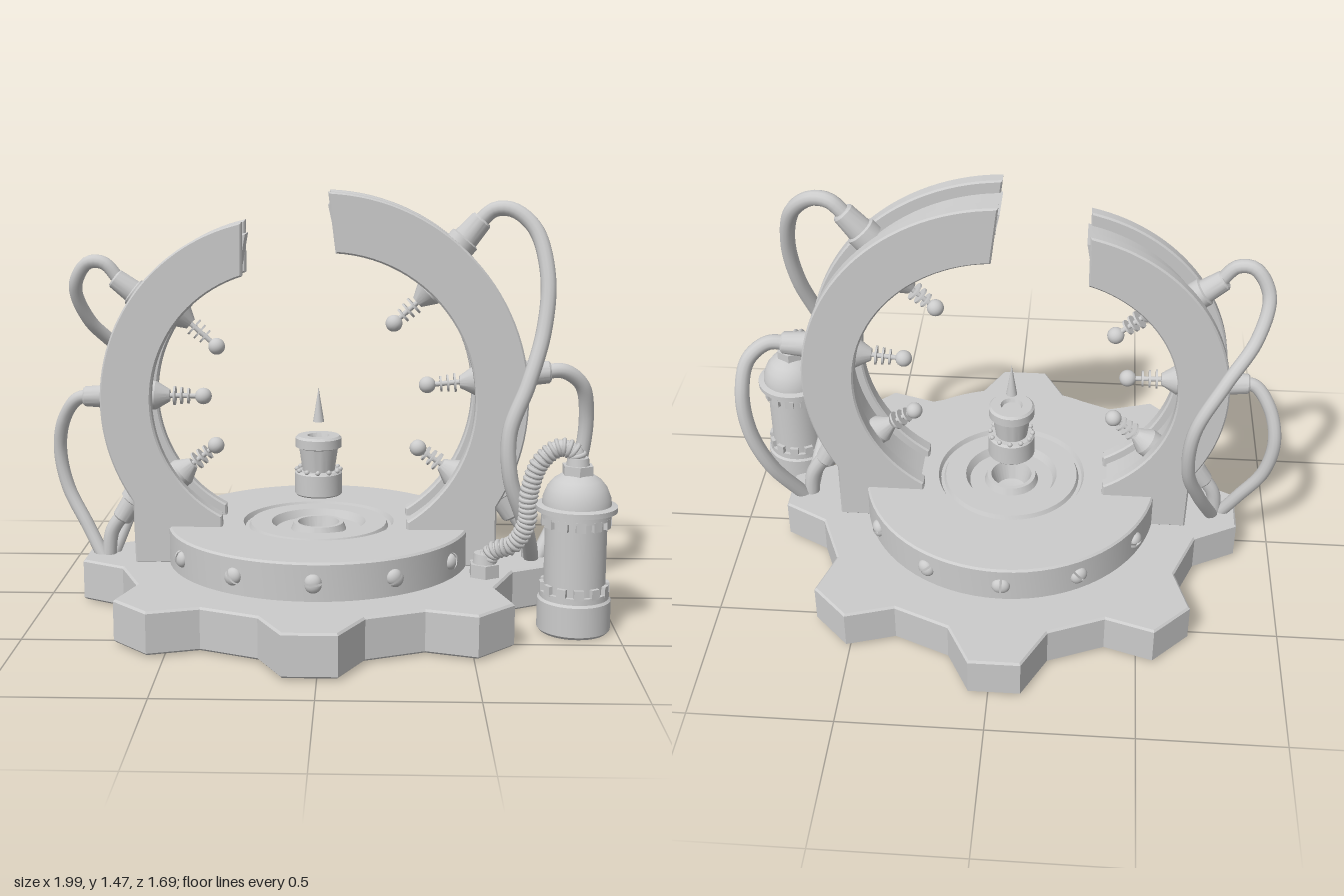
import * as THREE from 'three';
import { toCreasedNormals } from 'three/addons/utils/BufferGeometryUtils.js';

const material = new THREE.MeshStandardMaterial({ color: 0xcccccc, side: THREE.DoubleSide });
const UP = new THREE.Vector3(0, 1, 0);
const rad = THREE.MathUtils.degToRad;
const v2 = (a) => a.map(([x, y]) => new THREE.Vector2(x, y));
const v3 = (a) => a.map((p) => new THREE.Vector3(...p));

function add(parent, name, geometry, x = 0, y = 0, z = 0) {
  const mesh = new THREE.Mesh(geometry, material);
  mesh.name = name;
  mesh.position.set(x, y, z);
  parent.add(mesh);
  return mesh;
}

const lathe = (profile, seg = 48) =>
  toCreasedNormals(new THREE.LatheGeometry(v2(profile), seg).toNonIndexed(), 0.5);

// Group whose +y axis points from position along direction
function aimed(parent, name, position, direction) {
  const g = new THREE.Group();
  g.name = name;
  g.position.set(...position);
  g.quaternion.setFromUnitVectors(UP, new THREE.Vector3(...direction).normalize());
  parent.add(g);
  return g;
}

function extrude(points, depth, bevel) {
  const g = new THREE.ExtrudeGeometry(new THREE.Shape(v2(points)), {
    depth: depth - 2 * bevel, bevelEnabled: bevel > 0, bevelSize: bevel,
    bevelThickness: bevel, bevelOffset: -bevel, bevelSegments: 1,
  });
  g.translate(0, 0, bevel - depth / 2);
  return toCreasedNormals(g, 0.4);
}

// Eight-toothed base plate
function buildGear(parent) {
  const pts = [];
  for (let i = 0; i < 8; i++) {
    for (const [a, r] of [[-14, 0.71], [-6, 0.85], [6, 0.85], [14, 0.71]]) {
      const t = rad(i * 45 + a);
      pts.push([r * Math.cos(t), r * Math.sin(t)]);
    }
  }
  const gear = add(parent, 'gearBase', extrude(pts, 0.147, 0.007), -0.022, 0.08, 0);
  gear.rotation.x = -Math.PI / 2;
}

// Round platform with central cup and slotted screws
function buildPlatform(parent) {
  const g = new THREE.Group();
  g.name = 'platform';
  g.position.x = -0.022;
  parent.add(g);
  add(g, 'platformDisc', lathe([
    [0, 0.2], [0.055, 0.21], [0.075, 0.28], [0.09, 0.28], [0.1, 0.255], [0.155, 0.255],
    [0.17, 0.283], [0.245, 0.283], [0.252, 0.268], [0.264, 0.268], [0.272, 0.285],
    [0.533, 0.285], [0.54, 0.278], [0.54, 0.14],
  ].reverse(), 72));
  for (let i = 0; i < 12; i++) {
    if (i % 6 === 3) continue;
    const a = rad(i * 30);
    const d = [Math.sin(a), 0, Math.cos(a)];
    const s = aimed(g, 'screw', [d[0] * 0.538, 0.215, d[2] * 0.538], d);
    // two half heads leave the slot between them
    for (const side of [0, 1]) {
      const half = new THREE.Group();
      half.rotation.y = i * 1.3 + side * Math.PI;
      const dome = new THREE.SphereGeometry(0.029, 14, 5, 0, Math.PI, 0, Math.PI / 2);
      dome.scale(1, 0.75, 1);
      add(half, 'screwHead', dome, 0, 0, 0.004);
      s.add(half);
    }
  }
}

// Floating pedestal and the spike above it
function buildPedestal(parent) {
  add(parent, 'pedestal', lathe([
    [0, 0.385], [0.08, 0.385], [0.085, 0.39], [0.085, 0.465], [0.078, 0.473], [0.058, 0.473],
    [0.07, 0.555], [0.083, 0.56], [0.083, 0.592], [0.075, 0.6], [0.04, 0.6], [0.035, 0.585], [0, 0.585],
  ]), -0.022, 0, 0);
  for (let i = 0; i < 12; i++) {
    const a = rad(i * 30);
    add(parent, 'pedestalStud', new THREE.SphereGeometry(0.009, 8, 6),
      -0.022 + 0.078 * Math.sin(a), 0.476, 0.078 * Math.cos(a));
  }
  add(parent, 'floatingSpike', new THREE.ConeGeometry(0.02, 0.125, 20), -0.022, 0.712, 0);
}

// Broken ring half: two plates and a recessed web between them
function archOutline(o, inset) {
  const pts = [];
  const arc = (cx, r, from, to) => {
    for (let i = 0; i <= 40; i++) {
      const t = rad(from + (to - from) * i / 40);
      pts.push([cx + r * Math.cos(t), o.cy + r * Math.sin(t)]);
    }
  };
  arc(o.outerX, o.outerR - inset, o.outerA[0], o.outerA[1]);
  const s = Math.sign(o.footOut);
  pts.push([o.footOut - s * inset, 0.15], [o.footIn + s * inset, 0.15]);
  arc(o.innerX, o.innerR + inset * 0.7, o.innerA[1], o.innerA[0]);
  return pts;
}

function buildArch(parent, o) {
  const g = new THREE.Group();
  g.name = o.name;
  parent.add(g);
  for (const s of [-1, 1])
    add(g, 'archPlate', extrude(archOutline(o, 0), o.plate, 0.006), 0, 0, s * (o.halfDepth - o.plate / 2));
  add(g, 'archWeb', extrude(archOutline(o, 0.045), 2 * (o.halfDepth - o.plate) + 0.02, 0));
}

// Prong with cone seat, rod, discs and ball, running from the ring to the ball
function buildProng(parent, from, ball) {
  const dir = new THREE.Vector3(ball[0] - from[0], ball[1] - from[1], 0);
  const L = dir.length();
  const g = aimed(parent, 'prong', [...from, 0], dir.toArray());
  add(g, 'prongSeat', lathe([[0, -0.04], [0.052, -0.04], [0.052, -0.005], [0.022, 0.045], [0, 0.045]], 20));
  add(g, 'prongRod', new THREE.CylinderGeometry(0.009, 0.009, L, 10), 0, L / 2, 0);
  for (let i = 0; i < 3; i++)
    add(g, 'prongDisc', new THREE.CylinderGeometry(0.034 - i * 0.003, 0.034 - i * 0.003, 0.007, 20), 0, 0.062 + i * 0.025, 0);
  add(g, 'prongBall', new THREE.SphereGeometry(0.03, 20, 14), 0, L, 0);
}

function buildSocket(parent, pos, dir, k) {
  const g = aimed(parent, 'hoseSocket', pos, dir);
  g.scale.setScalar(k);
  add(g, 'socket', lathe([[0, -0.07], [0.056, -0.07], [0.056, -0.03], [0.046, -0.025], [0.04, 0.055], [0.034, 0.062], [0, 0.062]], 24));
}

function buildHose(parent, points, r) {
  const curve = new THREE.CatmullRomCurve3(v3(points));
  add(parent, 'hose', new THREE.TubeGeometry(curve, 80, r, 12));
}

// Canister with crenellated collars, dome and ribbed feed hose
function buildTank(parent) {
  const g = new THREE.Group();
  g.name = 'tank';
  g.position.set(0.858, 0, 0.338);
  parent.add(g);
  add(g, 'tankBody', lathe([
    [0, 0], [0.115, 0], [0.124, 0.01], [0.124, 0.112], [0.117, 0.12], [0.117, 0.142], [0.104, 0.142],
    [0.104, 0.395], [0.117, 0.395], [0.117, 0.418], [0.137, 0.42], [0.137, 0.437], [0.116, 0.442],
    [0.114, 0.465], [0.1, 0.5], [0.08, 0.525], [0.052, 0.543], [0, 0.55],
  ]));
  for (let i = 0; i < 12; i++) {
    const a = rad(i * 30);
    for (const y of [0.153, 0.385]) {
      const tooth = add(g, 'collarTooth', new THREE.BoxGeometry(0.032, 0.034, 0.014), 0.11 * Math.sin(a), y, 0.11 * Math.cos(a));
      tooth.rotation.y = a;
    }
  }
  const hex = (r, h) => new THREE.CylinderGeometry(r, r, h, 6).toNonIndexed();
  const nut = (p, name, r, h, y) => {
    const geo = hex(r, h);
    geo.computeVertexNormals();
    add(p, name, geo, 0, y, 0);
  };
  nut(g, 'topNut', 0.055, 0.035, 0.557);
  add(g, 'topNeck', new THREE.CylinderGeometry(0.036, 0.04, 0.03, 20), 0, 0.585, 0);

  const curve = new THREE.CatmullRomCurve3(v3([
    [0.858, 0.57, 0.338], [0.85, 0.615, 0.337], [0.8, 0.632, 0.33], [0.735, 0.58, 0.325],
    [0.7, 0.47, 0.315], [0.695, 0.36, 0.3], [0.655, 0.28, 0.275], [0.59, 0.245, 0.245], [0.562, 0.19, 0.23],
  ]));
  add(parent, 'ribbedHose', new THREE.TubeGeometry(curve, 80, 0.026, 12));
  for (let i = 1; i < 36; i++) {
    const t = i / 36;
    const rib = add(parent, 'hoseRib', new THREE.TorusGeometry(0.026, 0.008, 6, 16), ...curve.getPointAt(t).toArray());
    rib.quaternion.setFromUnitVectors(new THREE.Vector3(0, 0, 1), curve.getTangentAt(t));
  }
  const end = aimed(parent, 'hoseFitting', [0.562, 0.15, 0.23], [0, 1, 0]);
  nut(end, 'fittingNut', 0.056, 0.05, 0.025);
  add(end, 'fittingNeck', new THREE.CylinderGeometry(0.037, 0.042, 0.04, 20), 0, 0.065, 0);
}

export function createModel() {
  const model = new THREE.Group();
  model.name = 'gatewayDevice';
  buildGear(model);
  buildPlatform(model);
  buildPedestal(model);
  buildArch(model, { name: 'shortArch', cy: 0.735, outerX: -0.145, outerR: 0.645, outerA: [102.5, 214],
    innerX: -0.145, innerR: 0.465, innerA: [107.5, 242], footOut: -0.675, footIn: -0.358, halfDepth: 0.107, plate: 0.046 });
  buildArch(model, { name: 'tallArch', cy: 0.745, outerX: -0.01, outerR: 0.725, outerA: [88, -31.2],
    innerX: 0.014, innerR: 0.516, innerA: [87, -57], footOut: 0.61, footIn: 0.292, halfDepth: 0.124, plate: 0.054 });

  // Prongs pointing inward
  for (const [from, ball] of [
    [[-0.51, 1.03], [-0.385, 0.92]], [[-0.6, 0.742], [-0.435, 0.74]], [[-0.51, 0.465], [-0.392, 0.56]],
    [[0.36, 1.11], [0.245, 1.005]], [[0.525, 0.8], [0.365, 0.785]], [[0.455, 0.47], [0.335, 0.555]],
  ]) buildProng(model, from, ball);

  // Sockets on the outer rims
  buildSocket(model, [-0.7, 1.13, 0], [-0.8, 0.6, 0], 0.9);
  buildSocket(model, [-0.81, 0.737, 0], [-1, 0, 0], 0.9);
  buildSocket(model, [-0.71, 0.33, 0], [-0.55, -0.8, 0], 0.9);
  buildSocket(model, [0.51, 1.325, 0], [0.65, 0.76, 0], 1);
  buildSocket(model, [0.74, 0.83, 0], [1, 0.05, 0], 1);
  buildSocket(model, [0.65, 0.36, 0], [0.5, -0.85, 0], 1);

  // Hoses from the sockets down to the base
  buildHose(model, [[-0.72, 1.145, 0], [-0.78, 1.215, 0], [-0.84, 1.215, -0.01], [-0.892, 1.13, -0.04], [-0.86, 1.0, -0.11],
    [-0.76, 0.87, -0.2], [-0.67, 0.7, -0.24], [-0.66, 0.5, -0.215], [-0.71, 0.33, -0.14], [-0.78, 0.14, -0.02]], 0.024);
  buildHose(model, [[-0.82, 0.737, 0], [-0.885, 0.73, 0], [-0.945, 0.65, -0.03], [-0.97, 0.53, -0.06],
    [-0.945, 0.39, -0.06], [-0.87, 0.25, -0.03], [-0.81, 0.14, 0]], 0.024);
  buildHose(model, [[-0.72, 0.32, 0], [-0.775, 0.24, 0], [-0.79, 0.14, 0]], 0.026);
  buildHose(model, [[0.53, 1.35, 0], [0.59, 1.405, 0.01], [0.655, 1.405, 0.025], [0.73, 1.34, 0.055], [0.77, 1.18, 0.11],
    [0.755, 1.0, 0.155], [0.7, 0.82, 0.205], [0.64, 0.66, 0.225], [0.645, 0.5, 0.225], [0.695, 0.35, 0.19],
    [0.73, 0.23, 0.1], [0.75, 0.14, 0]], 0.027);
  buildHose(model, [[0.77, 0.832, 0], [0.85, 0.835, -0.01], [0.92, 0.78, -0.04], [0.945, 0.66, -0.08],
    [0.93, 0.5, -0.095], [0.87, 0.33, -0.08], [0.77, 0.14, -0.01]], 0.027);
  buildHose(model, [[0.67, 0.34, 0], [0.73, 0.24, 0], [0.745, 0.14, 0]], 0.029);

  buildTank(model);
  return model;
}
